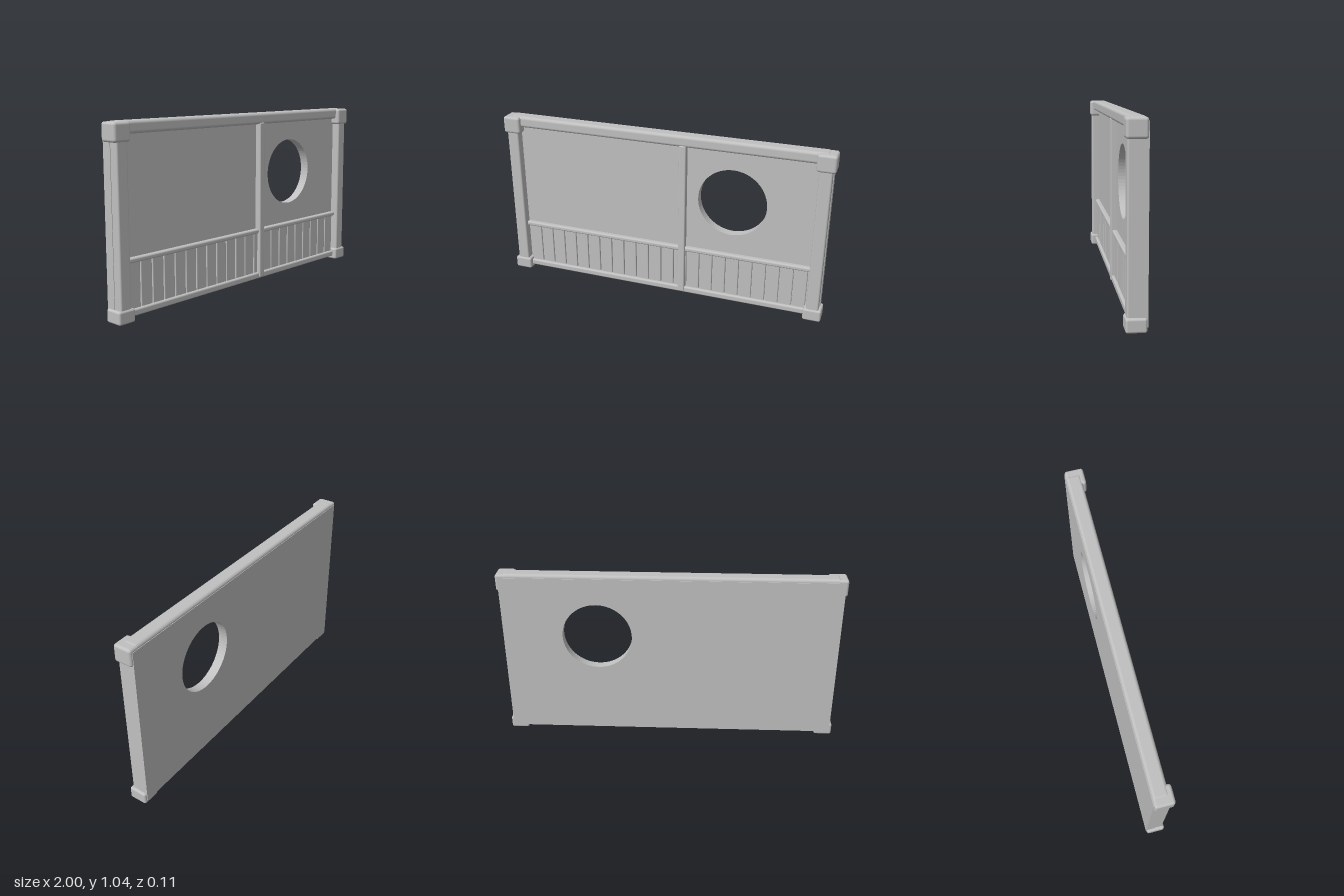
import * as THREE from 'three';
import { RoundedBoxGeometry } from 'three/addons/geometries/RoundedBoxGeometry.js';

export function createModel() {
  const model = new THREE.Group();
  model.name = 'wallPanel';
  const grey = new THREE.MeshStandardMaterial({ color: 0xc0c0c0 });
  grey.name = 'plain grey';

  // Rounded bar given by its extents along each axis
  const bar = (name, [x0, x1], [y0, y1], [z0, z1], radius) => {
    const geometry = new RoundedBoxGeometry(x1 - x0, y1 - y0, z1 - z0, 3, radius);
    const mesh = new THREE.Mesh(geometry, grey);
    mesh.position.set((x0 + x1) / 2, (y0 + y1) / 2, (z0 + z1) / 2);
    mesh.name = name;
    model.add(mesh);
  };

  // Back board with a round window opening
  const outline = new THREE.Shape();
  outline.moveTo(-0.985, 0.028);
  outline.lineTo(0.985, 0.028);
  outline.lineTo(0.985, 1.022);
  outline.lineTo(-0.985, 1.022);
  outline.closePath();
  const opening = new THREE.Path();
  opening.absarc(0.43, 0.66, 0.204, 0, Math.PI * 2, true);
  outline.holes.push(opening);
  const boardGeometry = new THREE.ExtrudeGeometry(outline, {
    depth: 0.055, bevelEnabled: false, curveSegments: 32,
  });
  boardGeometry.translate(0, 0, -0.055);
  const board = new THREE.Mesh(boardGeometry, grey);
  board.name = 'backBoard';
  model.add(board);

  // Corner posts with cap and foot blocks
  for (const side of [-1, 1]) {
    const label = side > 0 ? 'left' : 'right';
    const span = (inner, outer) => (side > 0 ? [inner, outer] : [-outer, -inner]);
    bar(label + 'Post', span(0.91, 0.982), [0.03, 1.0], [-0.04, 0.049], 0.01);
    bar(label + 'Cap', span(0.893, 1), [0.938, 1.04], [-0.052, 0.057], 0.015);
    bar(label + 'Foot', span(0.893, 1), [0.003, 0.077], [-0.05, 0.057], 0.012);
  }

  // Top beam, horizontal rails and the upright divider
  bar('topBeam', [-0.96, 0.96], [0.975, 1.043], [-0.052, 0.035], 0.018);
  bar('upperRail', [-0.915, 0.915], [0.306, 0.334], [-0.01, 0.026], 0.01);
  bar('lowerRail', [-0.915, 0.915], [0.022, 0.06], [-0.03, 0.03], 0.01);
  bar('divider', [0.114, 0.157], [0.028, 0.985], [-0.02, 0.036], 0.008);

  // Row of vertical slats below the upper rail
  const count = 22;
  const pitch = 1.8 / count;
  for (let i = 0; i < count; i++) {
    const x = -0.9 + i * pitch;
    bar('slat', [x + 0.002, x + pitch - 0.002], [0.05, 0.312], [-0.02, 0.014], 0.005);
  }

  return model;
}
